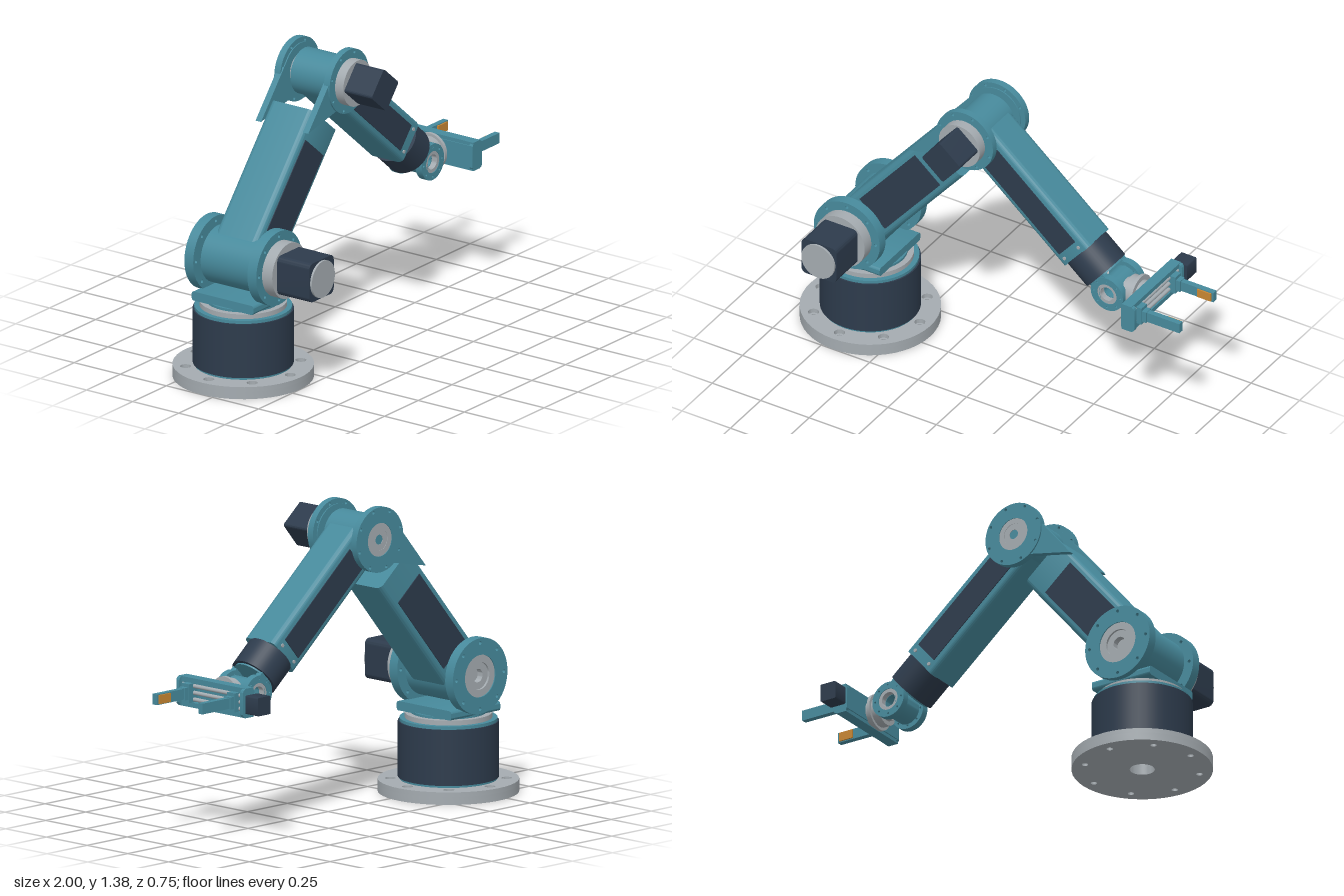
import * as THREE from 'three';
import { toCreasedNormals } from 'three/addons/utils/BufferGeometryUtils.js';

const paint = (name, color) => {
  const m = new THREE.MeshStandardMaterial({ color });
  m.name = name;
  return m;
};

export function createModel() {
  const teal = paint('teal', 0x478a9c);
  const dark = paint('darkNavy', 0x2d3b4c);
  const grey = paint('lightGrey', 0xa4abb0);
  const orange = paint('orange', 0xc88632);

  const add = (parent, name, geo, mat, x = 0, y = 0, z = 0) => {
    const m = new THREE.Mesh(geo, mat);
    m.name = name;
    m.position.set(x, y, z);
    parent.add(m);
    return m;
  };
  const group = (parent, name, x, y, angle = 0) => {
    const g = new THREE.Group();
    g.name = name;
    g.position.set(x, y, 0);
    g.rotation.z = angle;
    parent.add(g);
    return g;
  };
  const box = (w, h, d) => new THREE.BoxGeometry(w, h, d);
  const cyl = (r, h) => new THREE.CylinderGeometry(r, r, h, 48);
  const extrude = (shape, depth) => toCreasedNormals(new THREE.ExtrudeGeometry(shape,
    { depth, bevelEnabled: false, curveSegments: 24 }).translate(0, 0, -depth / 2), 0.5);
  const circleHole = (shape, x, y, r) => {
    const p = new THREE.Path();
    p.absarc(x, y, r, 0, Math.PI * 2, true);
    shape.holes.push(p);
  };
  // Disc facing z, with an optional bore and a circle of n bolt holes
  const disc = (r, depth, bore = 0, n = 0, boltRadius = 0, holeRadius = 0, start = 0) => {
    const s = new THREE.Shape();
    s.absarc(0, 0, r, 0, Math.PI * 2, false);
    if (bore) circleHole(s, 0, 0, bore);
    for (let i = 0; i < n; i++) {
      const a = start + (i / n) * Math.PI * 2;
      circleHole(s, Math.cos(a) * boltRadius, Math.sin(a) * boltRadius, holeRadius);
    }
    return extrude(s, depth);
  };
  // Block facing z with rounded corners
  const rounded = (w, h, r, depth) => {
    const s = new THREE.Shape(), a = w / 2 - r, b = h / 2 - r;
    s.absarc(a, b, r, 0, Math.PI / 2);
    s.absarc(-a, b, r, Math.PI / 2, Math.PI);
    s.absarc(-a, -b, r, Math.PI, Math.PI * 1.5);
    s.absarc(a, -b, r, Math.PI * 1.5, Math.PI * 2);
    s.closePath();
    return extrude(s, depth);
  };
  // Rounded beam running along x from x0 to x1
  const beam = (x0, x1, h, d, r) => rounded(d, h, r, x1 - x0).rotateY(Math.PI / 2).translate((x0 + x1) / 2, 0, 0);
  // Plate with a round end at x1
  const tongue = (x0, x1, r, depth, bore = 0) => {
    const s = new THREE.Shape();
    s.moveTo(x0, -r);
    s.absarc(x1, 0, r, -Math.PI / 2, Math.PI / 2, false);
    s.lineTo(x0, r);
    s.closePath();
    if (bore) circleHole(s, x1, 0, bore);
    return extrude(s, depth);
  };

  const model = new THREE.Group();
  model.name = 'robotArm';
  const root = group(model, 'assembly', 0, 0);
  root.position.z = -0.06;

  // Base: counterbored flange, drum and turntable
  const base = group(root, 'base', -0.69, 0);
  const lay = (geo) => geo.rotateX(-Math.PI / 2);
  add(base, 'baseFlangeLower', lay(disc(0.31, 0.035, 0.055, 8, 0.255, 0.014)), grey, 0, 0.0175);
  add(base, 'baseFlangeUpper', lay(disc(0.31, 0.021, 0.055, 8, 0.255, 0.024)), grey, 0, 0.0455);
  add(base, 'drumCore', cyl(0.215, 0.275), teal, 0, 0.1925);
  add(base, 'drumSleeve', cyl(0.222, 0.25), dark, 0, 0.191);
  add(base, 'turntableRing', cyl(0.192, 0.022), grey, 0, 0.341);
  add(base, 'turntableNeck', cyl(0.165, 0.012), teal, 0, 0.357);
  add(base, 'saddlePlate', beam(-0.153, 0.153, 0.042, 0.335, 0.012), teal, 0, 0.379);

  // Shoulder: side discs, bearings and drive
  const shoulder = group(root, 'shoulder', -0.69, 0.54);
  for (const s of [-1, 1]) {
    add(shoulder, 'shoulderDisc', disc(0.17, 0.048, 0.095, 8, 0.148, 0.008), teal, 0, 0, s * 0.171);
    add(shoulder, 'shoulderBearingOuter', disc(0.095, 0.04, 0.062), grey, 0, 0, s * 0.17);
    add(shoulder, 'shoulderBearingInner', disc(0.062, 0.03, 0.03), grey, 0, 0, s * 0.165);
    add(shoulder, 'shoulderWasher', disc(0.1, 0.014), grey, 0, 0, s * 0.141);
  }
  add(shoulder, 'shoulderMotorFlange', disc(0.127, 0.055), grey, 0, 0, 0.2225);
  add(shoulder, 'shoulderMotor', rounded(0.18, 0.18, 0.025, 0.175), dark, 0, 0, 0.3375);
  add(shoulder, 'shoulderMotorCap', disc(0.085, 0.012), grey, 0, 0, 0.429);

  // Upper arm, ending in a fork
  const upperArm = group(root, 'upperArm', -0.69, 0.54, Math.atan2(0.69, 0.58));
  const upperLength = Math.hypot(0.58, 0.69);
  add(upperArm, 'upperArmHub', disc(0.13, 0.272), teal);
  add(upperArm, 'upperArmBeam', beam(0, 0.7, 0.238, 0.23, 0.028), teal);
  for (const s of [-1, 1]) {
    add(upperArm, 'upperArmPanel', box(0.44, 0.172, 0.008), dark, 0.35, 0, s * 0.115);
    add(upperArm, 'forkPlate', tongue(0.59, upperLength, 0.122, 0.03), teal, 0, 0, s * 0.128);
  }

  // Elbow: discs, bearings and drive
  const elbow = group(upperArm, 'elbow', upperLength, 0);
  for (const s of [-1, 1]) {
    add(elbow, 'elbowDisc', disc(0.146, 0.032, 0.075, 8, 0.132, 0.007, Math.PI / 8), teal, 0, 0, s * 0.134);
    add(elbow, 'elbowBearingOuter', disc(0.075, 0.026, 0.05), grey, 0, 0, s * 0.134);
    add(elbow, 'elbowBearingInner', disc(0.05, 0.024, 0.022), grey, 0, 0, s * 0.133);
    add(elbow, 'elbowWasher', disc(0.08, 0.022), grey, 0, 0, s * 0.103);
  }
  add(elbow, 'elbowMotorFlange', disc(0.105, 0.046), grey, 0, 0, 0.172);
  add(elbow, 'elbowMotor', rounded(0.143, 0.143, 0.012, 0.15), dark, 0, 0, 0.27);

  // Forearm with round end sleeve and wrist ears
  const forearm = group(root, 'forearm', -0.11, 1.23, Math.atan2(-0.594, 0.698));
  const foreLength = Math.hypot(0.698, 0.594);
  add(forearm, 'forearmHub', disc(0.105, 0.184), teal);
  add(forearm, 'forearmBeam', beam(0, 0.705, 0.2, 0.186, 0.028), teal);
  add(forearm, 'forearmSleeve', cyl(0.109, 0.132).rotateZ(Math.PI / 2), dark, 0.769);
  add(forearm, 'sleeveEnd', cyl(0.095, 0.01).rotateZ(Math.PI / 2), teal, 0.838);
  for (const s of [-1, 1]) {
    add(forearm, 'forearmPanel', box(0.53, 0.125, 0.008), dark, 0.385, 0, s * 0.093);
    for (const v of [-1, 1])
      add(forearm, 'forearmBolt', disc(0.008, 0.008), grey, 0.678, v * 0.055, s * 0.094);
    add(forearm, 'wristEar', tongue(0.8, foreLength, 0.055, 0.028, 0.05), teal, 0, 0, s * 0.076);
  }

  // Wrist: open hub leading to the tool flange
  const wrist = group(root, 'wrist', 0.588, 0.636);
  for (const s of [-1, 1]) {
    add(wrist, 'wristDisc', disc(0.083, 0.034, 0.05, 8, 0.068, 0.005), teal, 0, 0, s * 0.076);
    add(wrist, 'wristBearing', disc(0.05, 0.028, 0.034), grey, 0, 0, s * 0.076);
  }
  add(wrist, 'wristHub', disc(0.062, 0.118, 0.034), teal);
  const xCyl = (name, r, x0, x1, mat) =>
    add(wrist, name, cyl(r, x1 - x0).rotateZ(Math.PI / 2), mat, (x0 + x1) / 2);
  xCyl('wristNeck', 0.05, 0.045, 0.075, grey);
  xCyl('toolFlangeRear', 0.07, 0.068, 0.105, grey);
  xCyl('toolFlangeRing', 0.083, 0.105, 0.12, grey);
  xCyl('toolFlangeFront', 0.06, 0.12, 0.145, grey);

  // Gripper: frame, guide rods, drive and two fingers
  const gripper = group(root, 'gripper', 0.765, 0.64);
  add(gripper, 'gripperBack', box(0.022, 0.1, 0.4), teal, -0.024);
  for (const s of [-1, 1]) {
    add(gripper, 'gripperRail', box(0.05, 0.022, 0.41), teal, -0.005, s * 0.055);
    add(gripper, 'gripperEndPlate', rounded(0.07, 0.128, 0.018, 0.018), teal, 0, 0, s * 0.196);
    add(gripper, 'fingerCarriage', box(0.055, 0.085, 0.045), teal, 0.018, 0, s * 0.14);
    add(gripper, 'fingerBase', box(0.035, 0.055, 0.038), teal, 0.05, 0, s * 0.14);
    add(gripper, 'finger', box(0.185, 0.048, 0.026), teal, 0.1425, 0, s * 0.14);
    add(gripper, 'fingerPad', box(0.07, 0.04, 0.008), orange, 0.19, 0, s * 0.124);
  }
  for (const y of [-0.03, 0, 0.03])
    add(gripper, 'guideRod', cyl(0.009, 0.39).rotateX(Math.PI / 2), grey, 0.012, y);
  add(gripper, 'gripperMotorCoupling', disc(0.014, 0.024), grey, 0, 0, -0.214);
  add(gripper, 'gripperMotor', rounded(0.08, 0.082, 0.006, 0.077), dark, 0, 0, -0.262);

  return model;
}
